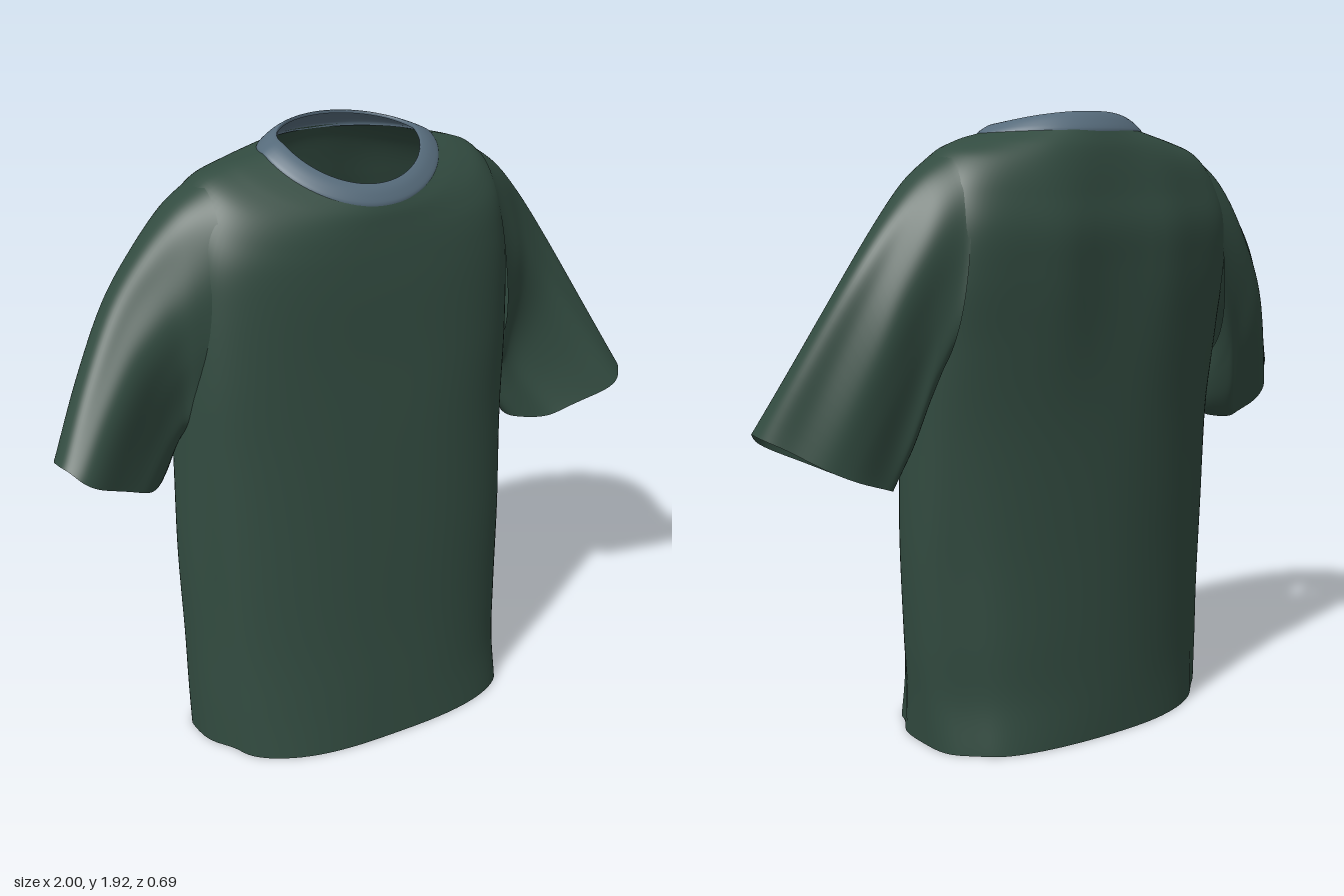
import * as THREE from 'three';

const SEG = 96;

// Smoothly interpolates every column of a table of key sections
function subdivide(keys, steps) {
  const out = [];
  const last = keys.length - 1;
  for (let i = 0; i <= last * steps; i++) {
    const k = Math.min(Math.floor(i / steps), last - 1);
    const t = i / steps - k;
    const p0 = keys[Math.max(k - 1, 0)], p1 = keys[k];
    const p2 = keys[k + 1], p3 = keys[Math.min(k + 2, last)];
    out.push(p1.map((b, j) => {
      const a = p0[j], c = p2[j], d = p3[j];
      return b + 0.5 * t * (c - a + t * (2 * a - 5 * b + 4 * c - d + t * (3 * (b - c) + d - a)));
    }));
  }
  return out;
}

// Skins closed rings of points given by ringPoint(section, angle, fraction);
// faces starting at a point inside a hole are left out
function loft(name, sections, ringPoint, material, { flip = false, hole = () => false } = {}) {
  const points = [], index = [];
  sections.forEach((s, r) => {
    for (let i = 0; i < SEG; i++) {
      points.push(ringPoint(s, (i / SEG) * Math.PI * 2, r / (sections.length - 1)));
    }
  });
  for (let r = 1; r < sections.length; r++) {
    for (let i = 0; i < SEG; i++) {
      const n = (i + 1) % SEG;
      const a = (r - 1) * SEG + i, b = (r - 1) * SEG + n;
      const c = r * SEG + i, d = r * SEG + n;
      if (hole(points[a])) continue;
      if (flip) index.push(a, b, c, b, d, c);
      else index.push(a, c, b, b, c, d);
    }
  }
  const g = new THREE.BufferGeometry();
  g.setAttribute('position', new THREE.Float32BufferAttribute(points.flat(), 3));
  g.setIndex(index);
  g.computeVertexNormals();
  const mesh = new THREE.Mesh(g, material);
  mesh.name = name;
  return mesh;
}

const power = (v, e) => Math.sign(v) * Math.pow(Math.abs(v), e);
const bump = (v, centre, width) => Math.exp(-(((v - centre) / width) ** 2));

// Point on a rounded section whose front, back and sides differ in height
// section: [side y, front y, back y, right x, left x, front z, back z, side z,
//           squareness of the corners: front right, front left, back right, back left]
function torsoPoint([ys, yf, yb, xr, xl, zf, zb, zc, fr, fl, br, bl], angle) {
  const c = Math.cos(angle), s = Math.sin(angle);
  const front = s > 0;
  const e = 2 / THREE.MathUtils.lerp(front ? fr : br, front ? fl : bl, (1 + c) / 2);
  const x = (xl + xr) / 2 + power(c, e) * (xl - xr) / 2;
  const z = zc + Math.abs(power(s, e)) * ((front ? zf : zb) - zc);
  const y = ys + ((front ? yf : yb) - ys) * Math.abs(s) ** 1.25;
  return [x, y, z];
}

// Torso section with soft cloth folds
function clothPoint(section, angle) {
  let [x, y, z] = torsoPoint(section, angle);
  const s = Math.sin(angle), c = Math.cos(angle);
  // shoulder blades
  if (s < 0) z -= 0.018 * bump(Math.abs(x), 0.19, 0.11) * bump(y, 1.5, 0.3);
  // long hanging folds down the sides
  const low = 1 - THREE.MathUtils.smoothstep(y, 0.5, 1.2);
  x -= Math.sign(c) * low * 0.022 * (bump(s, 0.4, 0.15) + bump(s, -0.5, 0.2));
  return [x, y, z];
}

// Armhole openings, covered by the sleeves
const armhole = ([x, y, z]) =>
  Math.abs(x) > 0.4 && ((z + 0.075) / 0.155) ** 2 + ((y - 1.43) / 0.27) ** 2 < 1;

const BODY = [
  [0.00, 0.00, 0.00, -0.585, 0.512, 0.344, -0.315, -0.03, 2.5, 3.1, 1.7, 2.8],
  [0.15, 0.15, 0.15, -0.590, 0.525, 0.328, -0.315, -0.03, 2.5, 2.6, 1.7, 2.2],
  [0.35, 0.35, 0.35, -0.594, 0.545, 0.307, -0.315, -0.03, 2.5, 2.4, 1.7, 2.1],
  [0.65, 0.65, 0.65, -0.600, 0.562, 0.280, -0.315, -0.04, 2.6, 2.4, 1.7, 2.0],
  [1.00, 1.00, 1.00, -0.590, 0.562, 0.246, -0.315, -0.05, 2.9, 2.4, 1.9, 2.2],
  [1.25, 1.25, 1.25, -0.580, 0.558, 0.220, -0.318, -0.06, 3.3, 2.8, 2.5, 2.7],
  [1.45, 1.45, 1.45, -0.572, 0.555, 0.203, -0.322, -0.07, 3.3, 3.0, 3.2, 3.4],
  [1.60, 1.55, 1.58, -0.560, 0.545, 0.192, -0.325, -0.08, 3.2, 3.0, 3.2, 3.4],
  [1.72, 1.61, 1.68, -0.530, 0.525, 0.184, -0.310, -0.08, 2.8, 2.8, 2.8, 2.9],
  [1.80, 1.65, 1.76, -0.470, 0.470, 0.178, -0.298, -0.07, 2.5, 2.5, 2.5, 2.5],
  [1.835, 1.69, 1.82, -0.375, 0.395, 0.171, -0.285, -0.06, 2.2, 2.2, 2.2, 2.2],
  [1.855, 1.72, 1.865, -0.268, 0.308, 0.160, -0.266, -0.05, 2, 2, 2, 2],
];

const COLLAR = [
  [1.850, 1.712, 1.858, -0.270, 0.310, 0.164, -0.268, -0.05, 2, 2, 2, 2],
  [1.860, 1.724, 1.872, -0.266, 0.306, 0.162, -0.266, -0.05, 2, 2, 2, 2],
  [1.877, 1.752, 1.904, -0.236, 0.276, 0.146, -0.243, -0.05, 2, 2, 2, 2],
  [1.883, 1.770, 1.920, -0.208, 0.248, 0.128, -0.222, -0.05, 2, 2, 2, 2],
  [1.874, 1.768, 1.910, -0.205, 0.245, 0.126, -0.220, -0.05, 2, 2, 2, 2],
];

// Sleeve sections: [top x, y, z, underside x, y, z, half depth]
const SLEEVE = [
  [0.47, 1.795, -0.08, 0.555, 1.13, -0.065, 0.188],
  [0.56, 1.730, -0.085, 0.565, 1.06, -0.07, 0.172],
  [0.66, 1.615, -0.08, 0.580, 1.01, -0.085, 0.150],
  [0.77, 1.455, -0.06, 0.600, 0.95, -0.085, 0.134],
  [0.89, 1.235, 0.005, 0.625, 0.89, -0.075, 0.122],
  [1.00, 1.015, 0.085, 0.650, 0.84, -0.065, 0.118],
];

// One sleeve; side is +1 for the left and -1 for the right, lift raises its cuff,
// pinch narrows it halfway down
function sleeve(name, side, lift, pinch, material) {
  const point = ([tx, ty, tz, ux, uy, uz, depth], angle, f) => {
    const c = Math.cos(angle), s = Math.sin(angle);
    const k = (1 + power(c, 0.85)) / 2;
    const fold = 0.012 * Math.sin(f * Math.PI * 0.75) * Math.sin(angle * 5 + f * 3);
    // the root wraps round the curved side of the torso
    const wrap = Math.max(0, 1 - f * 4) * s * s * 0.015;
    const half = depth * (1 - pinch * Math.sin(f * Math.PI));
    return [
      side * (ux + (tx - ux) * k + fold * 0.6 - wrap),
      uy + (ty - uy) * k + lift * f * f - 0.022 * f * s * s,
      uz + (tz - uz) * k + power(s, 0.85) * half + fold * s,
    ];
  };
  return loft(name, subdivide(SLEEVE, 6), point, material, { flip: side > 0 });
}

export function createModel() {
  const green = new THREE.MeshStandardMaterial({ color: 0x324b40, side: THREE.DoubleSide });
  green.name = 'dark green cloth';
  const blue = new THREE.MeshStandardMaterial({ color: 0x566b7b, side: THREE.DoubleSide });
  blue.name = 'slate blue trim';

  const shirt = new THREE.Group();
  shirt.name = 'shirt';
  shirt.add(
    loft('body', subdivide(BODY, 8), clothPoint, green, { hole: armhole }),
    loft('collar', subdivide(COLLAR, 3), torsoPoint, blue),
    sleeve('leftSleeve', 1, 0, 0.16, green),
    sleeve('rightSleeve', -1, 0.07, 0, green),
  );
  return shirt;
}
